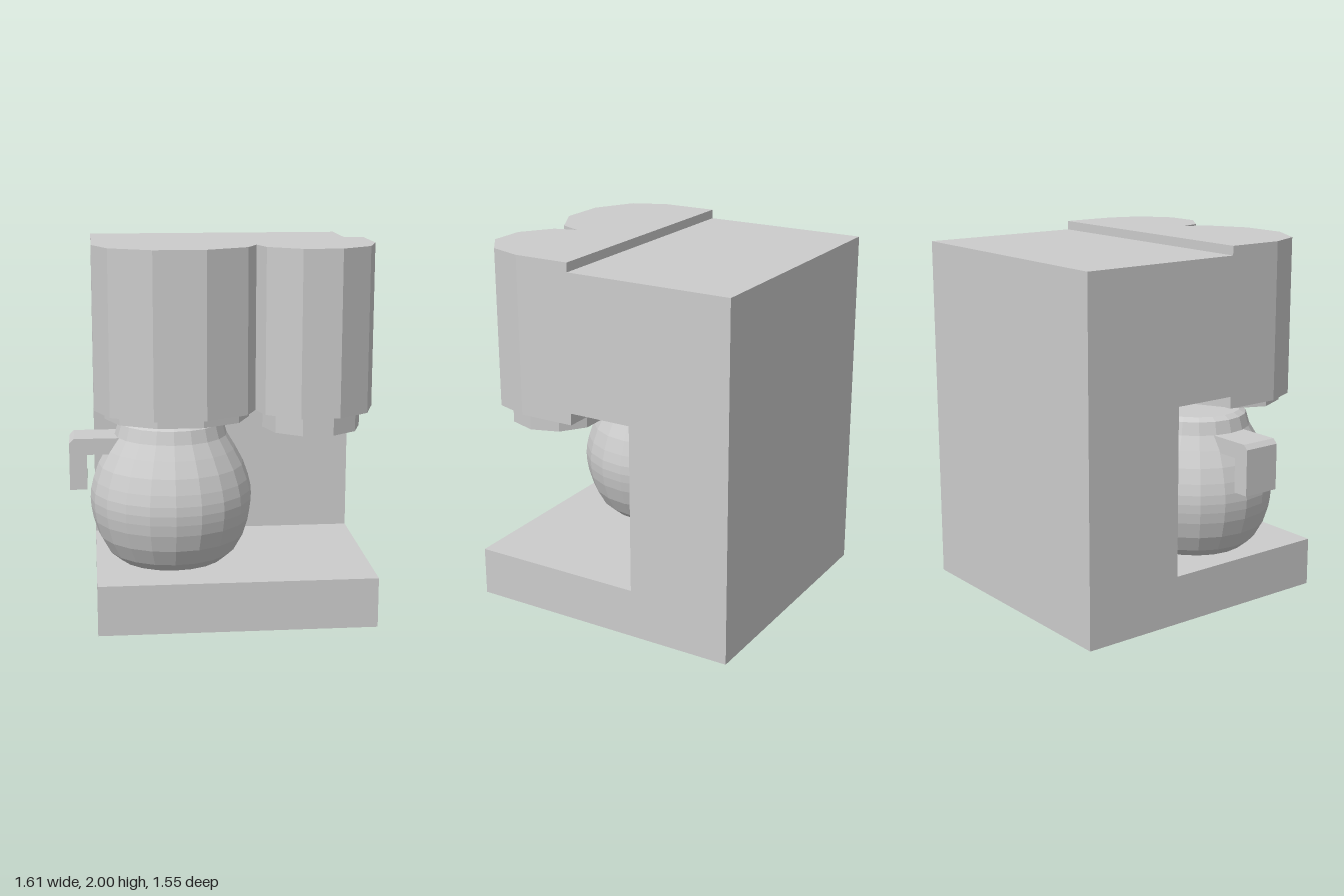
import * as THREE from 'three';

const grey = new THREE.MeshStandardMaterial({ color: 0xcccccc, flatShading: true });

function addMesh(parent, name, geometry) {
  const mesh = new THREE.Mesh(geometry, grey);
  mesh.name = name;
  parent.add(mesh);
  return mesh;
}

function extrude(points, depth) {
  const shape = new THREE.Shape(points.map(([a, b]) => new THREE.Vector2(a, b)));
  return new THREE.ExtrudeGeometry(shape, { depth, bevelEnabled: false });
}

export function createModel() {
  const model = new THREE.Group();
  model.name = 'coffeeMaker';

  // C-shaped housing: side profile in (z, y), extruded across the width
  const housing = extrude([
    [-0.775, 0], [0.775, 0], [0.775, 0.27], [-0.2, 0.27],
    [-0.2, 1.2], [0.155, 1.2], [0.155, 1.95], [-0.775, 1.95],
  ], 1.475);
  housing.rotateY(-Math.PI / 2).translate(0.8, 0, 0);
  addMesh(model, 'housing', housing);

  // Double-lobed brewing head: plan outline in (x, z), extruded downwards
  const head = extrude([
    [-0.675, 0.155], [-0.675, 0.47], [-0.595, 0.655], [-0.375, 0.775],
    [-0.105, 0.775], [0.115, 0.655], [0.17, 0.53], [0.207, 0.655],
    [0.375, 0.775], [0.577, 0.775], [0.74, 0.655], [0.8, 0.47], [0.8, 0.155],
  ], 0.865);
  head.rotateX(Math.PI / 2).translate(0, 2, 0);
  addMesh(model, 'brewingHead', head);

  // Ten-sided outlets under each lobe: centre x, x radius, z radius, bottom
  [
    ['wideOutlet', -0.237, 0.382, 0.281, 1.09],
    ['narrowOutlet', 0.475, 0.26, 0.255, 1.03],
  ].forEach(([name, x, rx, rz, bottom]) => {
    const height = 1.14 - bottom;
    const outlet = new THREE.CylinderGeometry(1, 1, height, 10, 1, false, Math.PI / 2);
    outlet.scale(rx, 1, rz).translate(x, bottom + height / 2, 0.467);
    addMesh(model, name, outlet);
  });

  // Faceted glass pot with a closed top
  const carafe = new THREE.Group();
  carafe.name = 'carafe';
  carafe.position.set(-0.26, 0, 0.265);
  model.add(carafe);
  const profile = [
    [0, 0.27], [0.29, 0.27], [0.35, 0.32], [0.4, 0.41], [0.428, 0.5], [0.438, 0.56],
    [0.441, 0.61], [0.437, 0.66], [0.423, 0.72], [0.395, 0.8], [0.35, 0.885],
    [0.305, 0.96], [0.285, 1.03], [0.25, 1.05], [0, 1.05],
  ].map(([r, y]) => new THREE.Vector2(r, y));
  addMesh(carafe, 'pot', new THREE.LatheGeometry(profile, 20));

  // Hooked handle with a chamfered outer corner
  const handle = extrude([
    [-0.25, 0.96], [-0.525, 0.96], [-0.55, 0.935], [-0.55, 0.68],
    [-0.457, 0.68], [-0.457, 0.872], [-0.25, 0.872],
  ], 0.215);
  handle.translate(0, 0, -0.1075);
  addMesh(carafe, 'handle', handle);

  return model;
}
